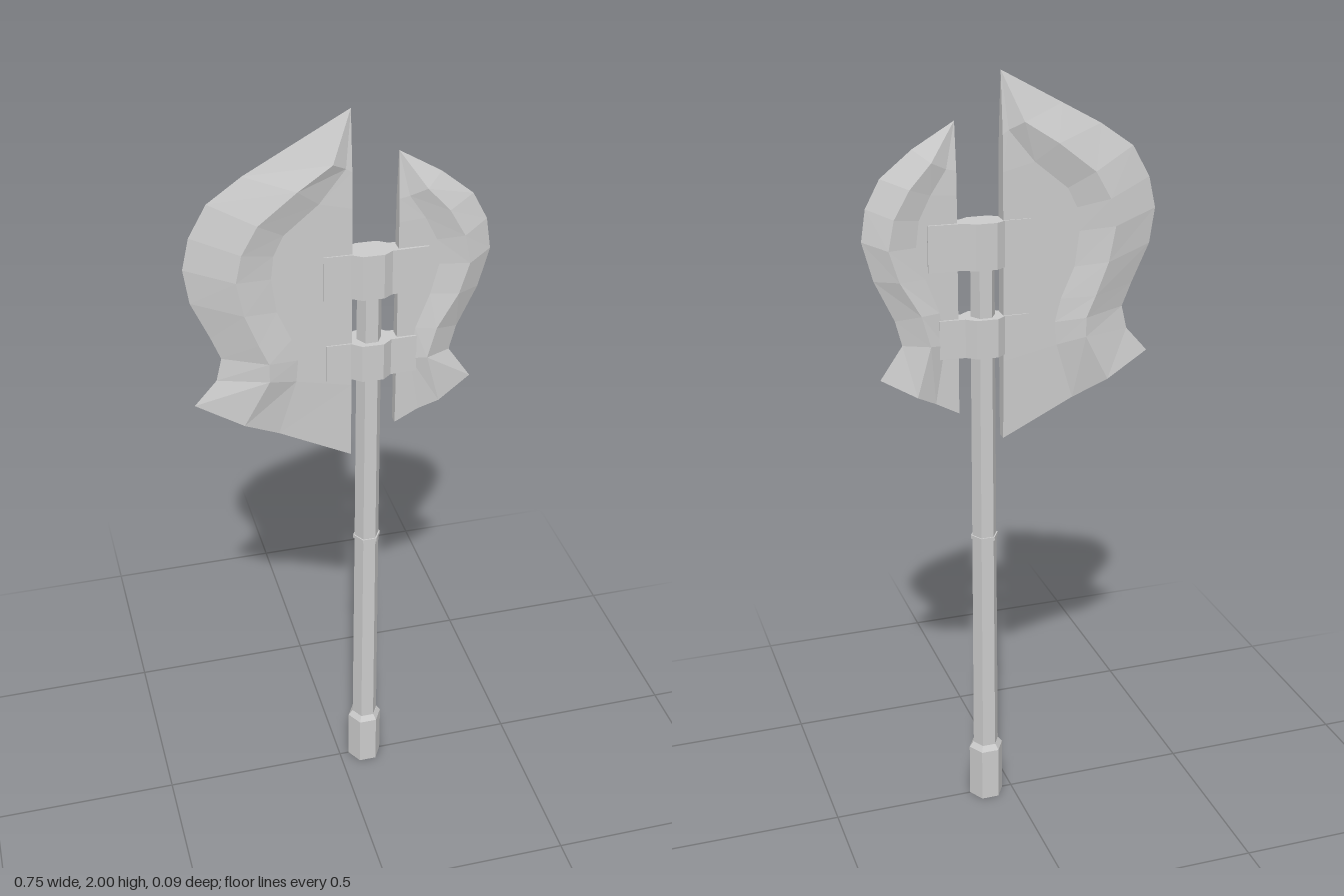
import * as THREE from 'three';

const mat = new THREE.MeshStandardMaterial({ color: 0xcccccc, flatShading: true });
const SHAFT_X = 0.073;
const yaw = (x) => 0.02 * (x - SHAFT_X); // the head sits slightly turned on the shaft

function add(group, name, geometry) {
  const mesh = new THREE.Mesh(geometry, mat);
  mesh.name = name;
  group.add(mesh);
  return mesh;
}

// Six-sided section of the handle between two heights
function hexPart(group, name, rTop, rBottom, y0, y1) {
  const geo = new THREE.CylinderGeometry(rTop, rBottom, y1 - y0, 6).rotateY(Math.PI / 6);
  add(group, name, geo).position.set(SHAFT_X, (y0 + y1) / 2, 0);
}

// Blade lofted downwards from its tip.
// Row: cutting edge x,y | ridge x,y | inner bevel x,y | back y | thickness factor
function bladeGeometry(rows, backX, ridgeZ, plateZ, flip) {
  const pos = [], index = [], n = 7;
  for (const [ox, oy, rx, ry, ix, iy, by, t] of rows) {
    const r = ridgeZ * t, p = plateZ * t;
    const ring = [[ox, oy, 0], [rx, ry, r], [ix, iy, p], [backX, by, p],
      [backX, by, -p], [ix, iy, -p], [rx, ry, -r]];
    for (const [x, y, z] of ring) pos.push(x, y, z + yaw(x));
  }
  const tri = (a, b, c) => (flip ? index.push(a, c, b) : index.push(a, b, c));
  for (let i = 0; i < rows.length - 1; i++) {
    for (let j = 0; j < n; j++) {
      const a = i * n + j, b = i * n + (j + 1) % n;
      tri(a, a + n, b);
      tri(b, a + n, b + n);
    }
  }
  // Lower end cap
  const e = (rows.length - 1) * n;
  for (let k = 1; k < n - 1; k++) tri(e, e + k + 1, e + k);
  const geo = new THREE.BufferGeometry();
  geo.setAttribute('position', new THREE.Float32BufferAttribute(pos, 3));
  geo.setIndex(index);
  geo.computeVertexNormals();
  return geo;
}

// Strap that wraps the shaft and grips both blades
function strapGeometry(y0, y1, x0, x1, bulge) {
  const half = [[x0, 0.021], [0.022, 0.022], [0.046, bulge], [0.1, bulge], [0.124, 0.022], [x1, 0.019]];
  const outline = [...half, ...half.map(([x, z]) => [x, -z]).reverse()];
  const shape = new THREE.Shape(outline.map(([x, z]) => new THREE.Vector2(x, z - yaw(x))));
  return new THREE.ExtrudeGeometry(shape, { depth: y1 - y0, bevelEnabled: false })
    .rotateX(-Math.PI / 2).translate(0, y0, 0);
}

export function createModel() {
  const axe = new THREE.Group();
  axe.name = 'doubleAxe';

  // Handle
  hexPart(axe, 'pommel', 0.047, 0.047, 0, 0.15);
  hexPart(axe, 'pommelShoulder', 0.036, 0.047, 0.15, 0.165);
  hexPart(axe, 'lowerShaft', 0.033, 0.035, 0.16, 0.795);
  hexPart(axe, 'shaftRing', 0.037, 0.037, 0.79, 0.8);
  hexPart(axe, 'upperShaft', 0.031, 0.033, 0.795, 1.635);

  // Large blade
  add(axe, 'largeBlade', bladeGeometry([
    [0.025, 2.0, 0.025, 2.0, 0.025, 2.0, 2.0, 0],
    [-0.13, 1.915, -0.025, 1.88, 0.01, 1.86, 1.85, 0.85],
    [-0.23, 1.86, -0.11, 1.825, -0.055, 1.78, 1.76, 1],
    [-0.315, 1.8, -0.205, 1.75, -0.14, 1.71, 1.7, 1],
    [-0.36, 1.72, -0.245, 1.68, -0.165, 1.66, 1.65, 1],
    [-0.378, 1.64, -0.26, 1.61, -0.172, 1.6, 1.6, 1],
    [-0.365, 1.55, -0.243, 1.52, -0.16, 1.51, 1.51, 1],
    [-0.32, 1.45, -0.21, 1.435, -0.125, 1.43, 1.43, 1],
    [-0.296, 1.39, -0.186, 1.38, -0.11, 1.37, 1.37, 1],
    [-0.31, 1.33, -0.186, 1.33, -0.115, 1.31, 1.28, 1],
    [-0.367, 1.265, -0.25, 1.207, -0.16, 1.162, 1.07, 0.75],
  ], 0.025, 0.039, 0.018, false));

  // Small blade
  add(axe, 'smallBlade', bladeGeometry([
    [0.14, 1.887, 0.14, 1.887, 0.14, 1.887, 1.887, 0],
    [0.245, 1.825, 0.205, 1.795, 0.165, 1.775, 1.77, 0.9],
    [0.325, 1.76, 0.26, 1.735, 0.205, 1.715, 1.71, 1],
    [0.362, 1.69, 0.3, 1.665, 0.235, 1.655, 1.65, 1],
    [0.374, 1.61, 0.315, 1.59, 0.243, 1.59, 1.59, 1],
    [0.347, 1.51, 0.29, 1.51, 0.222, 1.51, 1.51, 1],
    [0.297, 1.405, 0.237, 1.42, 0.187, 1.42, 1.42, 1],
    [0.28, 1.34, 0.215, 1.34, 0.175, 1.335, 1.33, 1],
    [0.338, 1.255, 0.25, 1.208, 0.2, 1.182, 1.15, 0.85],
  ], 0.14, 0.03, 0.014, true));

  // Straps
  add(axe, 'upperStrap', strapGeometry(1.525, 1.642, -0.045, 0.215, 0.038));
  add(axe, 'lowerStrap', strapGeometry(1.3, 1.4, -0.04, 0.19, 0.042));

  return axe;
}
